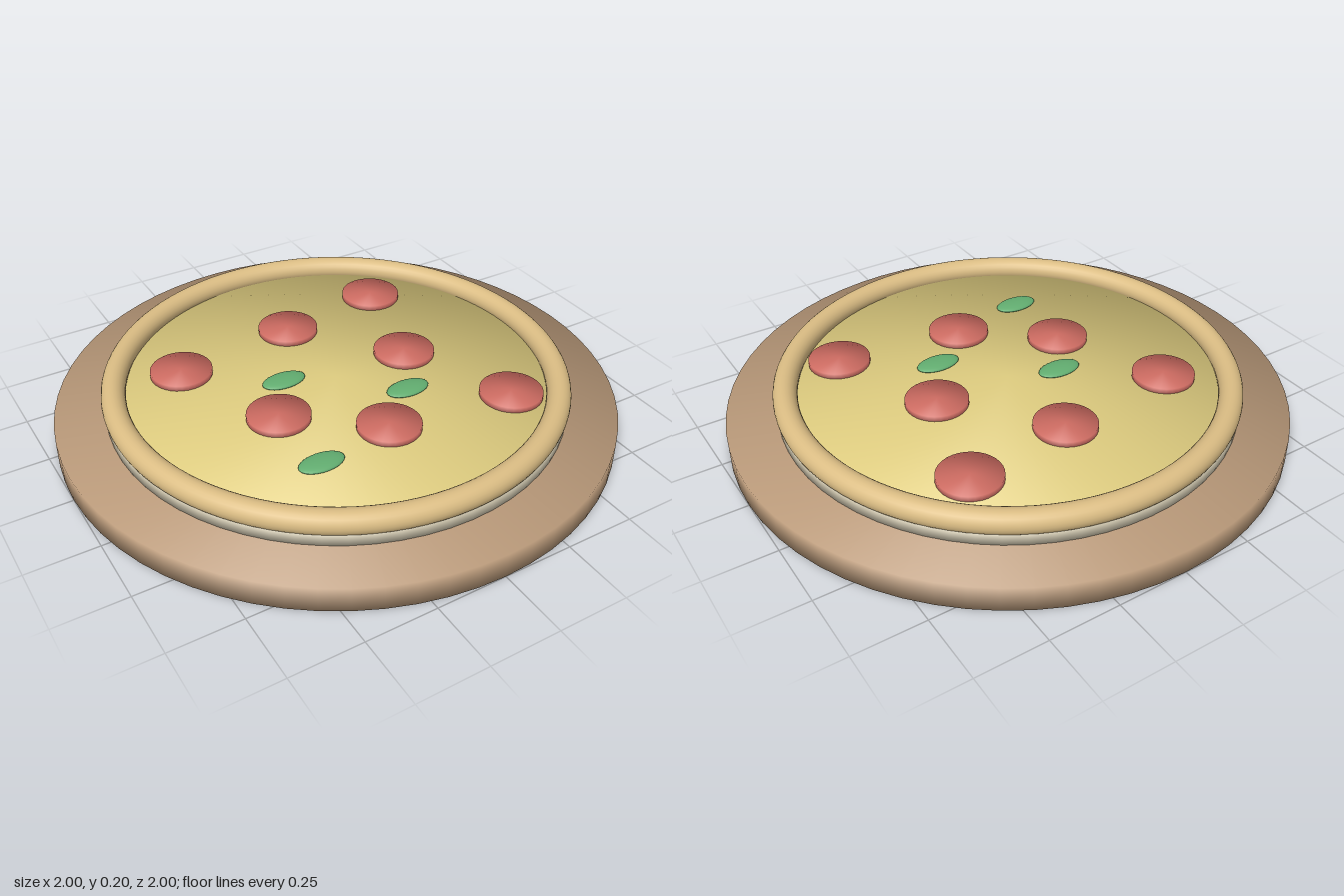
import * as THREE from 'three';

const paint = (name, color) => {
  const m = new THREE.MeshStandardMaterial({ color });
  m.name = name;
  return m;
};

// Disc standing on y = bottom, with soft normals shared between caps and side
function softDisc(radius, bottom, top, segments = 64) {
  const g = new THREE.CylinderGeometry(radius, radius, top - bottom, segments);
  const p = g.attributes.position;
  const n = new THREE.Vector3();
  for (let i = 0; i < p.count; i++) {
    n.set(p.getX(i) / radius, Math.sign(p.getY(i)), p.getZ(i) / radius).normalize();
    g.attributes.normal.setXYZ(i, n.x, n.y, n.z);
  }
  return g.translate(0, (top + bottom) / 2, 0);
}

export function createModel() {
  const model = new THREE.Group();
  model.name = 'pizzaOnBoard';
  const wood = paint('wood', 0xba9a7a);
  const dough = paint('dough', 0xd6cdb4);
  const crustTan = paint('crust', 0xdbbd84);
  const cheeseYellow = paint('cheese', 0xdfcd80);
  const red = paint('pepperoni', 0xce6c62);
  const green = paint('basil', 0x62ad70);

  const add = (name, geometry, material, x = 0, z = 0) => {
    const mesh = new THREE.Mesh(geometry, material);
    mesh.name = name;
    mesh.position.set(x, 0, z);
    model.add(mesh);
  };

  // Board, base and cheese layers
  add('board', softDisc(1, 0, 0.09), wood);
  add('doughBase', softDisc(0.822, 0.09, 0.135), dough);
  add('cheese', softDisc(0.8, 0.1, 0.143), cheeseYellow);

  // Rolled crust around the rim
  const ring = new THREE.TorusGeometry(0.788, 0.043, 24, 96);
  add('crust', ring.rotateX(Math.PI / 2).translate(0, 0.158, 0), crustTan);

  // Pepperoni slices
  const slice = softDisc(0.112, 0.135, 0.163, 32);
  [[-0.47, -0.3], [0, -0.36], [0.41, -0.42], [0.295, -0.005],
    [-0.295, 0.115], [0, 0.35], [0.47, 0.41]]
    .forEach(([x, z], i) => add(`pepperoni${i + 1}`, slice, red, x, z));

  // Basil leaves as flattened ellipsoids
  const leaf = new THREE.SphereGeometry(1, 24, 16).scale(0.083, 0.014, 0.047).translate(0, 0.149, 0);
  [[-0.178, -0.065], [0.175, 0.2], [-0.295, 0.405]]
    .forEach(([x, z], i) => add(`basilLeaf${i + 1}`, leaf, green, x, z));

  return model;
}
